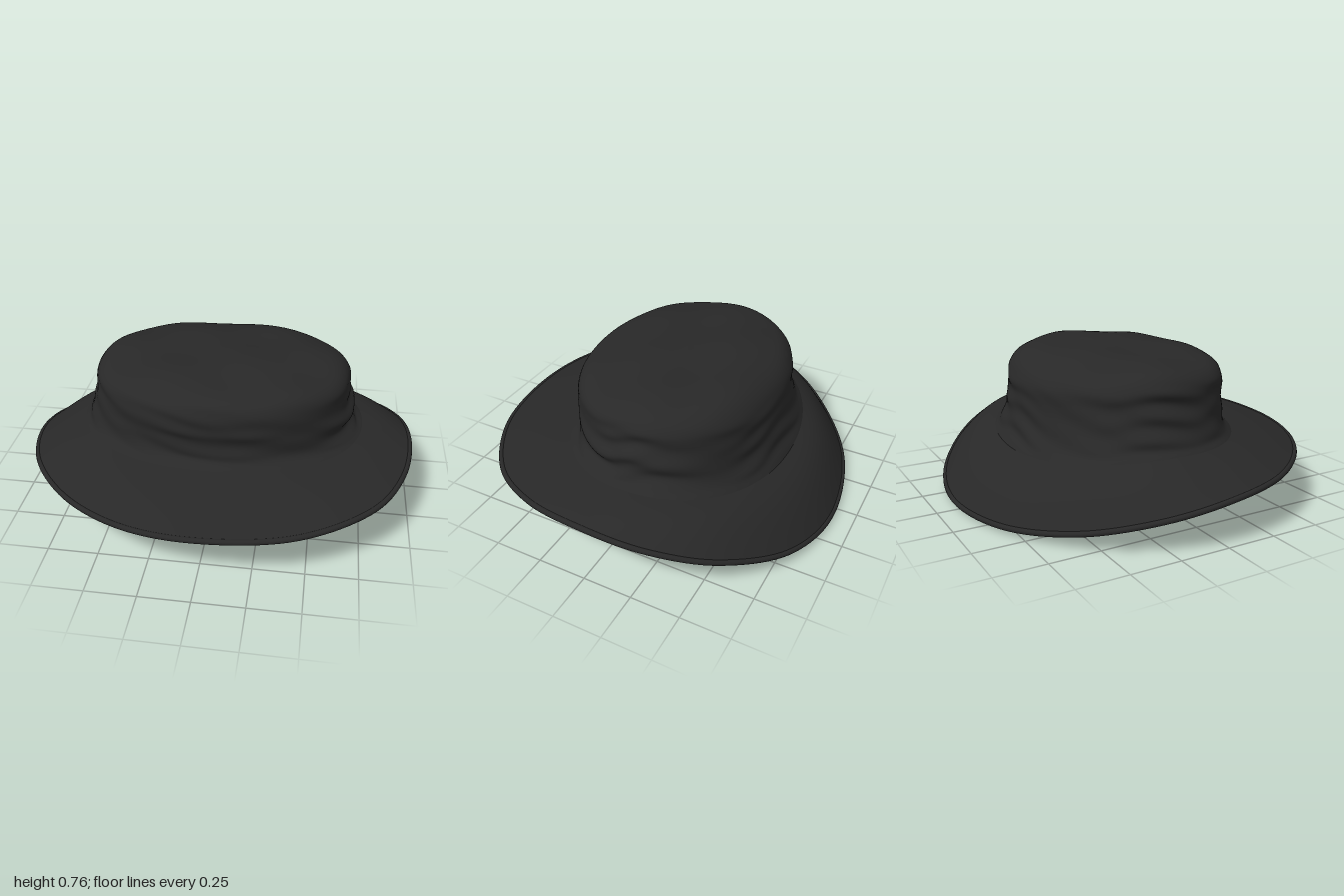
import * as THREE from 'three';

const SEG = 144;
const CZ = -0.04; // crown centre in z

// Crown rings from the top down: extents [+x, -x, +z, -z] and heights in the same directions
const RINGS = [
  [[0.0, 0.0, CZ, CZ], [0.752, 0.752, 0.752, 0.752]],
  [[0.35, 0.32, 0.2, -0.28], [0.748, 0.735, 0.745, 0.733]],
  [[0.51, 0.49, 0.35, -0.41], [0.73, 0.718, 0.728, 0.708]],
  [[0.61, 0.59, 0.425, -0.485], [0.7, 0.698, 0.698, 0.668]],
  [[0.655, 0.645, 0.46, -0.53], [0.645, 0.645, 0.65, 0.6]],
  [[0.655, 0.65, 0.468, -0.535], [0.57, 0.58, 0.56, 0.52]],
  [[0.685, 0.67, 0.455, -0.54], [0.5, 0.5, 0.5, 0.45]],
  [[0.675, 0.69, 0.455, -0.555], [0.43, 0.43, 0.43, 0.38]],
  [[0.705, 0.71, 0.465, -0.58], [0.385, 0.38, 0.395, 0.32]],
  [[0.74, 0.735, 0.5, -0.61], [0.365, 0.352, 0.362, 0.275]],
];

// Brim edge, sixteen points from +x towards +z: x, y, z
const EDGE = [
  [1, 0.305, 0], [0.952, 0.298, 0.33], [0.79, 0.285, 0.61], [0.45, 0.273, 0.83],
  [0.03, 0.267, 0.9], [-0.35, 0.257, 0.845], [-0.68, 0.247, 0.655], [-0.92, 0.235, 0.35],
  [-1, 0.21, 0], [-0.925, 0.15, -0.32], [-0.705, 0.075, -0.6], [-0.37, 0.028, -0.815],
  [0.07, 0.015, -0.9], [0.46, 0.06, -0.82], [0.775, 0.165, -0.595], [0.947, 0.253, -0.31],
];
const edge = new THREE.CatmullRomCurve3(
  EDGE.map(([x, y, z]) => new THREE.Vector3(x * 0.986, y, z * 0.984)), true, 'catmullrom');
const edgeAt = (a) => edge.getPoint((a / (Math.PI * 2)) % 1);

// Point of a crown ring at angle a, slightly squarer than an ellipse
function ringPoint([e, h], a) {
  const c = Math.cos(a), s = Math.sin(a);
  const k = 1 / Math.pow(Math.abs(c) ** 2.15 + Math.abs(s) ** 2.15, 1 / 2.15);
  const x = c * k * (c > 0 ? e[0] : e[1]);
  const z = CZ + Math.abs(s) * k * ((s > 0 ? e[2] : e[3]) - CZ);
  const y = c * c * (c > 0 ? h[0] : h[1]) + s * s * (s > 0 ? h[2] : h[3]);
  return new THREE.Vector3(x, y, z);
}

// Surface wrapped around y; profile(a) returns a function of t in 0..1
function loft(rows, profile) {
  const pos = new Float32Array((rows + 1) * SEG * 3), index = [];
  for (let j = 0; j < SEG; j++) {
    const at = profile((j / SEG) * Math.PI * 2);
    for (let i = 0; i <= rows; i++) at(i / rows).toArray(pos, (i * SEG + j) * 3);
  }
  for (let i = 0; i < rows; i++) {
    for (let j = 0; j < SEG; j++) {
      const a = i * SEG + j, b = i * SEG + ((j + 1) % SEG), c = a + SEG, d = b + SEG;
      index.push(a, b, c, b, d, c);
    }
  }
  const g = new THREE.BufferGeometry();
  g.setAttribute('position', new THREE.BufferAttribute(pos, 3));
  g.setIndex(index);
  g.computeVertexNormals();
  return g;
}

// Cloth folds on the crown wall and soft dents on its top
function crease(p, a, t) {
  const wall = THREE.MathUtils.smoothstep(t, 0.36, 0.55) * (1 - THREE.MathUtils.smoothstep(t, 0.85, 1));
  const fold = Math.sin(p.y * 62 + 2.2 * Math.sin(2 * a + 0.6) + 1.8 * Math.sin(5 * a)) *
    (0.5 + 0.5 * Math.sin(4 * a + 1)) + 0.5 * Math.sin(p.y * 48 - 9 * a);
  const d = 1 + 0.01 * wall * fold;
  const top = 1 - THREE.MathUtils.smoothstep(t, 0.25, 0.5);
  const dent = Math.sin(p.x * 9 + 2 * p.z) * Math.sin(p.z * 13 - 3 * p.x + 1) * 0.008;
  return p.set(p.x * d, p.y + top * dent, CZ + (p.z - CZ) * d);
}

function crownProfile(a) {
  const curve = new THREE.CatmullRomCurve3(RINGS.map((r) => ringPoint(r, a)), false, 'catmullrom');
  return (t) => crease(curve.getPoint(t), a, t);
}

// Brim from the crown base into the top of the hem, bulging where the back droops
function brimProfile(a) {
  const base = ringPoint(RINGS[RINGS.length - 1], a), rim = edgeAt(a);
  const bulge = 0.006 + 0.042 * Math.max(0, -Math.sin(a));
  return (t) => {
    const p = base.clone().lerp(rim, t);
    p.y += Math.sin(Math.PI * t) * bulge + 0.009 * t;
    return p;
  };
}

// Closed underside spanning the hem: tilt grows linearly from the middle, warp quadratically
function undersideProfile(a) {
  const rim = edgeAt(a), opposite = edgeAt(a + Math.PI), mid = 0.19;
  const tilt = (rim.y - opposite.y) / 2, warp = (rim.y + opposite.y) / 2 - mid;
  return (t) => {
    const r = 1 - t;
    return new THREE.Vector3(rim.x * r, mid + tilt * r + warp * r * r - 0.01, rim.z * r);
  };
}

export function createModel() {
  const hat = new THREE.Group();
  hat.name = 'bucketHat';
  const cloth = new THREE.MeshStandardMaterial({ color: 0x282828 });
  cloth.name = 'charcoal cloth';

  const add = (name, geometry) => {
    const m = new THREE.Mesh(geometry, cloth);
    m.name = name;
    hat.add(m);
  };

  add('crown', loft(72, crownProfile));
  add('brimTop', loft(16, brimProfile));
  add('brimHem', new THREE.TubeGeometry(edge, SEG, 0.014, 10, true));
  add('underside', loft(20, undersideProfile));

  return hat;
}
